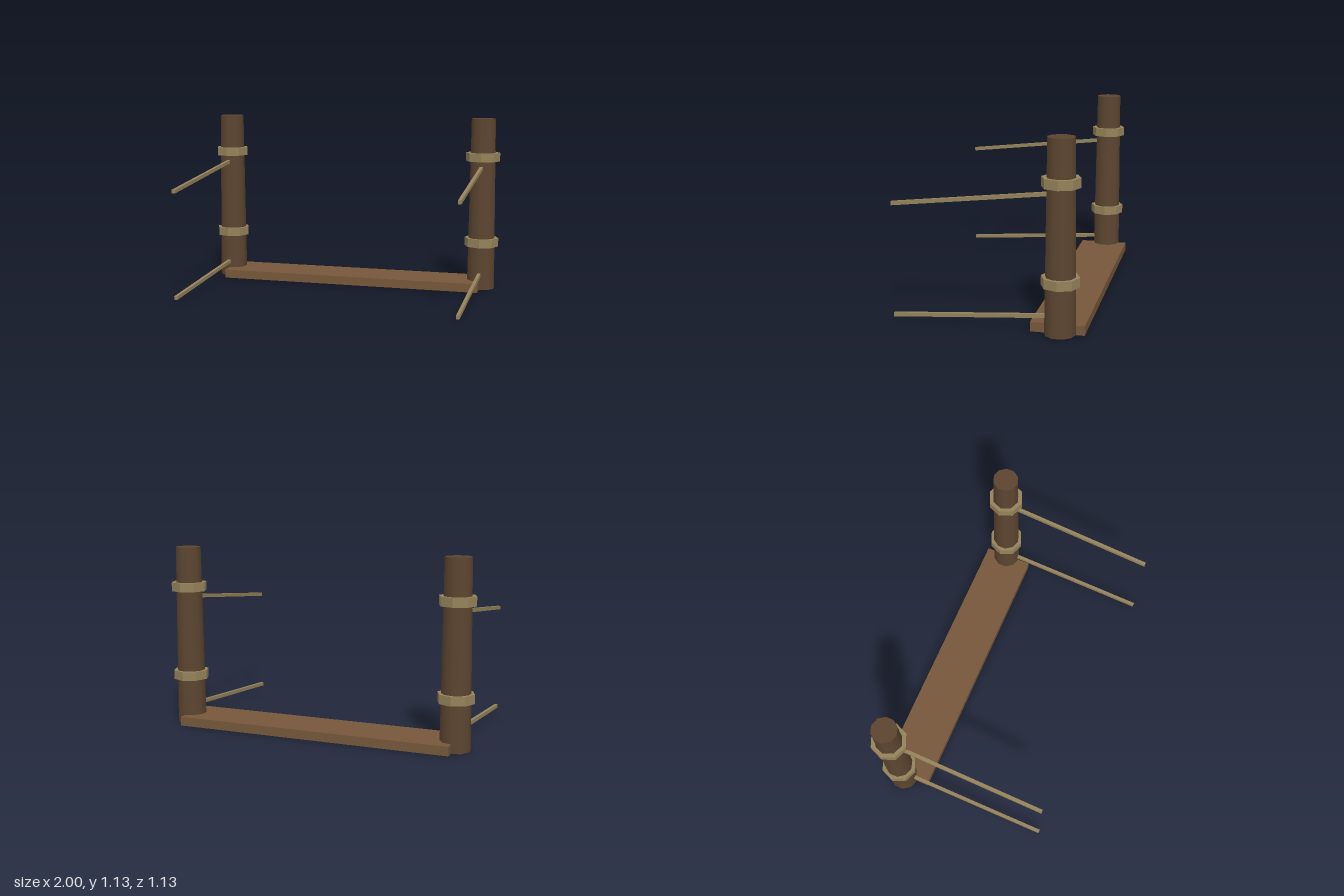
import * as THREE from 'three';

const POST_X = 0.887, POST_Z = -0.425;

export function createModel() {
  const model = new THREE.Group();
  model.name = 'mooringDock';
  const wood = new THREE.MeshStandardMaterial({ color: 0x5c4530 });
  const plankWood = new THREE.MeshStandardMaterial({ color: 0x76573a });
  const rope = new THREE.MeshStandardMaterial({ color: 0x94825a, flatShading: true });

  const add = (parent, name, geometry, material, x = 0, y = 0, z = 0) => {
    const mesh = new THREE.Mesh(geometry, material);
    mesh.name = name;
    mesh.position.set(x, y, z);
    parent.add(mesh);
    return mesh;
  };

  // Plank running between the two posts
  add(model, 'plank', new THREE.BoxGeometry(2 * POST_X, 0.057, 0.318), plankWood, 0, 0.0285, -0.409);

  // Tapered post with ten sides
  const postGeometry = new THREE.CylinderGeometry(0.08, 0.092, 1.135, 10);

  // Eight-sided rope band with a rectangular section
  const section = [[0.087, -0.028], [0.1125, -0.028], [0.1125, 0.028], [0.087, 0.028], [0.087, -0.028]];
  const bandGeometry = new THREE.LatheGeometry(section.map(([r, y]) => new THREE.Vector2(r, y)), 8);

  // Square line slanting down from the post to the front, with upright ends
  const lineGeometry = (yBack, yFront) => {
    const zBack = -0.36, zFront = 0.567;
    const g = new THREE.BoxGeometry(0.021, 0.023, zFront - zBack);
    g.translate(0, 0, (zBack + zFront) / 2);
    const p = g.attributes.position;
    for (let i = 0; i < p.count; i++) {
      const t = (p.getZ(i) - zBack) / (zFront - zBack);
      p.setY(i, p.getY(i) + THREE.MathUtils.lerp(yBack, yFront, t));
    }
    g.computeVertexNormals();
    return g;
  };
  const upperLine = lineGeometry(0.813, 0.71);
  const lowerLine = lineGeometry(0.104, 0.038);

  for (const [side, s] of [['left', 1], ['right', -1]]) {
    const group = new THREE.Group();
    group.name = side + 'Mooring';
    group.position.x = s * POST_X;
    model.add(group);
    add(group, side + 'Post', postGeometry, wood, 0, 0.5675, POST_Z);
    add(group, side + 'LowerBand', bandGeometry, rope, 0, 0.314, POST_Z);
    add(group, side + 'UpperBand', bandGeometry, rope, 0, 0.883, POST_Z);
    add(group, side + 'UpperLine', upperLine, rope);
    add(group, side + 'LowerLine', lowerLine, rope);
  }
  return model;
}
